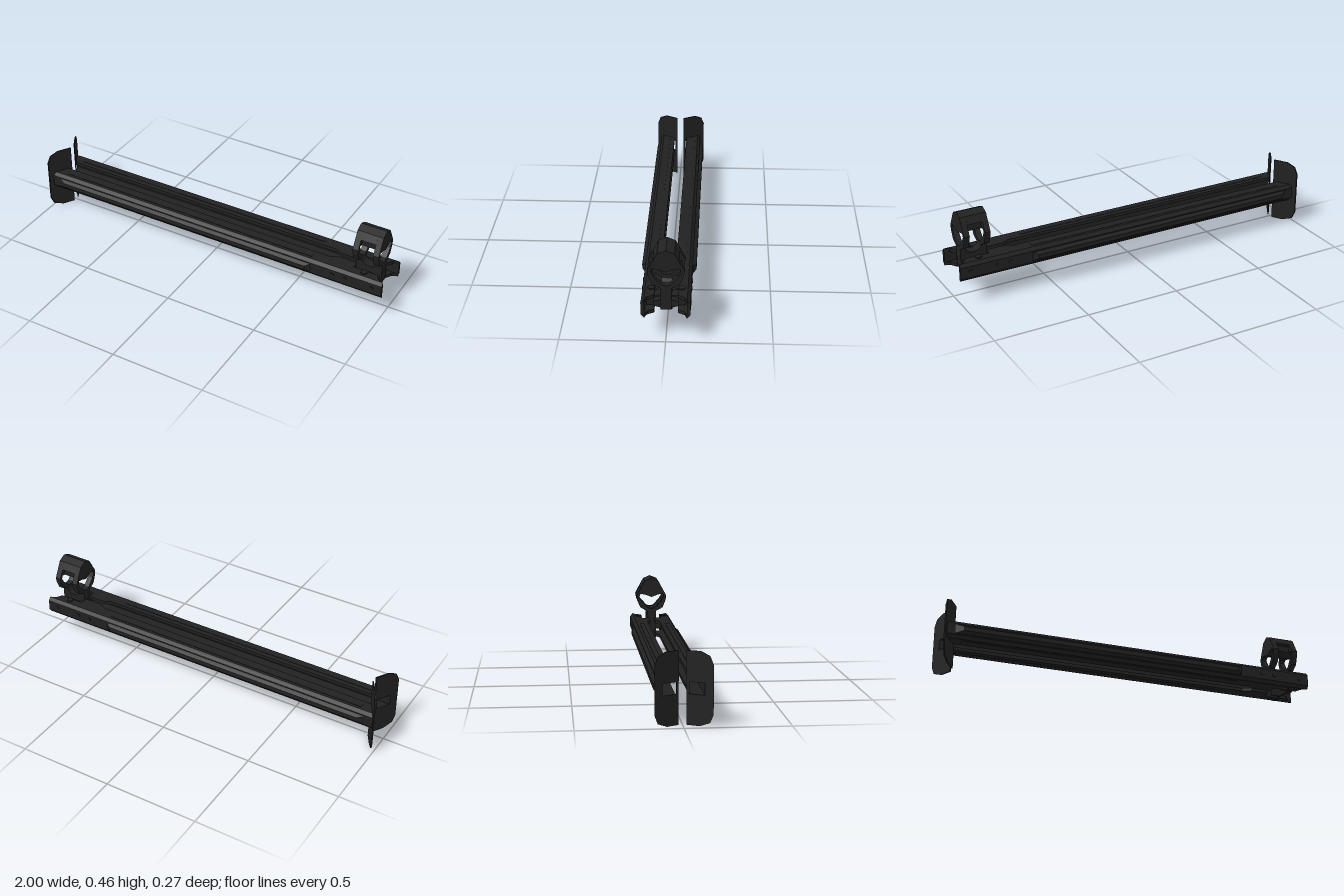
import * as THREE from 'three';

const metal = new THREE.MeshStandardMaterial({ color: 0x212121 });
metal.name = 'blackened steel';

const toShape = (pts, flip) => new THREE.Shape(pts.map(([a, b]) => new THREE.Vector2(flip === 'a' ? -a : a, flip === 'b' ? -b : b)));
const extrude = (shape, depth) => new THREE.ExtrudeGeometry(shape, { depth, bevelEnabled: false, curveSegments: 8 });

// Section given as [z, y], swept along x
function alongX(pts, x0, x1, hole) {
  const shape = toShape(pts, 'a');
  if (hole) shape.holes.push(toShape(hole, 'a'));
  return extrude(shape, x1 - x0).rotateY(Math.PI / 2).translate(x0, 0, 0);
}
// Outline given as [x, z], swept along y
const alongY = (pts, y0, y1) => extrude(toShape(pts, 'b'), y1 - y0).rotateX(-Math.PI / 2).translate(0, y0, 0);
// Outline given as [x, y], swept along z
const alongZ = (pts, z0, z1) => extrude(toShape(pts), z1 - z0).translate(0, 0, z0);

// Slanting plane of the foot
const footX = z => -0.93 - (Math.abs(z) - 0.02) * 0.6;
function moveX(geo, rule) {
  const p = geo.attributes.position;
  for (let i = 0; i < p.count; i++) p.setX(i, rule(p.getX(i), p.getY(i), p.getZ(i)));
  geo.computeVertexNormals();
  return geo;
}

function add(group, name, geo) {
  const mesh = new THREE.Mesh(geo, metal);
  mesh.name = name;
  group.add(mesh);
  return mesh;
}
function box(group, name, x0, x1, y0, y1, z0, z1) {
  const geo = new THREE.BoxGeometry(x1 - x0, y1 - y0, z1 - z0);
  return add(group, name, geo.translate((x0 + x1) / 2, (y0 + y1) / 2, (z0 + z1) / 2));
}

function makeLeg(s) {
  const leg = new THREE.Group();
  leg.name = s > 0 ? 'frontLeg' : 'backLeg';
  const side = pts => pts.map(([z, y]) => [z * s, y]);
  const flat = pts => pts.map(([x, z]) => [x, z * s]);

  // Outer wall of the open channel, cut to the slant of the foot
  const wall = alongX(side([[0.1, 0.128], [0.115, 0.145], [0.115, 0.205], [0.1, 0.222], [0.098, 0.222], [0.098, 0.128]]), -1, 1);
  add(leg, 'channelWall', moveX(wall, (x, y, z) => (x < 0 ? footX(z) : x)));

  // Top and bottom flanges, widened beside the hinge
  const flange = flat([[footX(0.035), 0.035], [0.68, 0.035], [0.72, 0.015], [0.82, 0.015], [0.82, 0.055],
    [0.95, 0.055], [0.97, 0.088], [1, 0.1], [footX(0.1), 0.1]]);
  add(leg, 'topFlange', alongY(flange, 0.204, 0.222));
  add(leg, 'bottomFlange', alongY(flange, 0.128, 0.146));

  // Raised bead along the outside, tapering at its ends
  const bead = alongX(side([[0.114, 0.15], [0.133, 0.163], [0.133, 0.187], [0.114, 0.2]]), -0.94, 0.61);
  add(leg, 'sideBead', moveX(bead, (x, y, z) => (Math.abs(z) > 0.12 ? (x < 0 ? x + 0.04 : x - 0.025) : x)));

  // Slim raised strips on both flanges
  for (const y of [0.126, 0.222]) {
    box(leg, 'flangeStrip', -0.9, 0.6, y, y + 0.002, s > 0 ? 0.06 : -0.085, s > 0 ? 0.085 : -0.06);
  }

  // Slanted foot plate with a slot for the channel
  const foot = alongX(
    side([[0.018, 0], [0.075, 0], [0.12, 0.02], [0.135, 0.06], [0.135, 0.29], [0.12, 0.33], [0.082, 0.349], [0.018, 0.349]]),
    0, 0.007,
    side([[0.03, 0.147], [0.1, 0.147], [0.1, 0.203], [0.03, 0.203]]));
  add(leg, 'footPlate', moveX(foot, (x, y, z) => footX(z) + x));

  // Rivets through the wall
  for (const x of [0.73, 0.8, 0.945]) {
    const rivet = new THREE.CylinderGeometry(0.011, 0.011, 0.006, 10).rotateX(Math.PI / 2);
    add(leg, 'rivet', rivet.translate(x, 0.178, s * 0.116));
  }

  // Upright pivot pin with heads above and below the channel
  const pin = new THREE.CylinderGeometry(0.017, 0.017, 0.107, 12);
  add(leg, 'pivotPin', pin.translate(0.885, 0.1745, s * 0.072));
  return leg;
}

function makeClamp() {
  const clamp = new THREE.Group();
  clamp.name = 'clamp';
  const mirror = half => [...half, ...half.slice().reverse().filter(p => p[0] !== 0).map(([z, y]) => [-z, y])];

  // Two ring arms, front and rear of the window
  const ringOuter = mirror([[0, 0.457], [0.04, 0.44], [0.087, 0.353], [0.082, 0.325], [0.065, 0.283], [0.026, 0.262]]);
  const ringInner = mirror([[0, 0.345], [0.035, 0.359], [0.065, 0.365], [0.071, 0.348], [0.056, 0.32], [0.021, 0.281], [0, 0.275]]);
  for (const x of [0.82, 0.93]) add(clamp, 'ringArm', alongX(ringOuter, x, x + 0.03, ringInner));

  // Cap across the arms, recessed between them
  add(clamp, 'cap', alongX(mirror([[0, 0.457], [0.04, 0.44], [0.061, 0.402], [0.045, 0.395], [0.045, 0.362], [0, 0.346]]), 0.85, 0.93));

  // Central stem with a rounded fork and a sloping foot
  add(clamp, 'stem', alongZ([[0.82, 0.102], [0.87, 0.102], [0.92, 0.138], [0.96, 0.15], [0.96, 0.272], [0.93, 0.272],
    [0.93, 0.255], [0.922, 0.242], [0.908, 0.235], [0.872, 0.235], [0.858, 0.242], [0.85, 0.255], [0.85, 0.272], [0.82, 0.272]], -0.026, 0.026));

  // Hinge crossbar reaching into both channels, with tapered lugs
  box(clamp, 'hingeBar', 0.855, 0.915, 0.15, 0.2, -0.092, 0.092);
  for (const s of [-1, 1]) {
    add(clamp, 'hingeLug', alongX([[0.025, 0.155], [0.06, 0.165], [0.06, 0.188], [0.025, 0.198]].map(([z, y]) => [z * s, y]), 0.83, 0.95));
  }
  return clamp;
}

export function createModel() {
  const model = new THREE.Group();
  model.name = 'foldedBipod';
  model.add(makeLeg(1), makeLeg(-1), makeClamp());
  return model;
}
